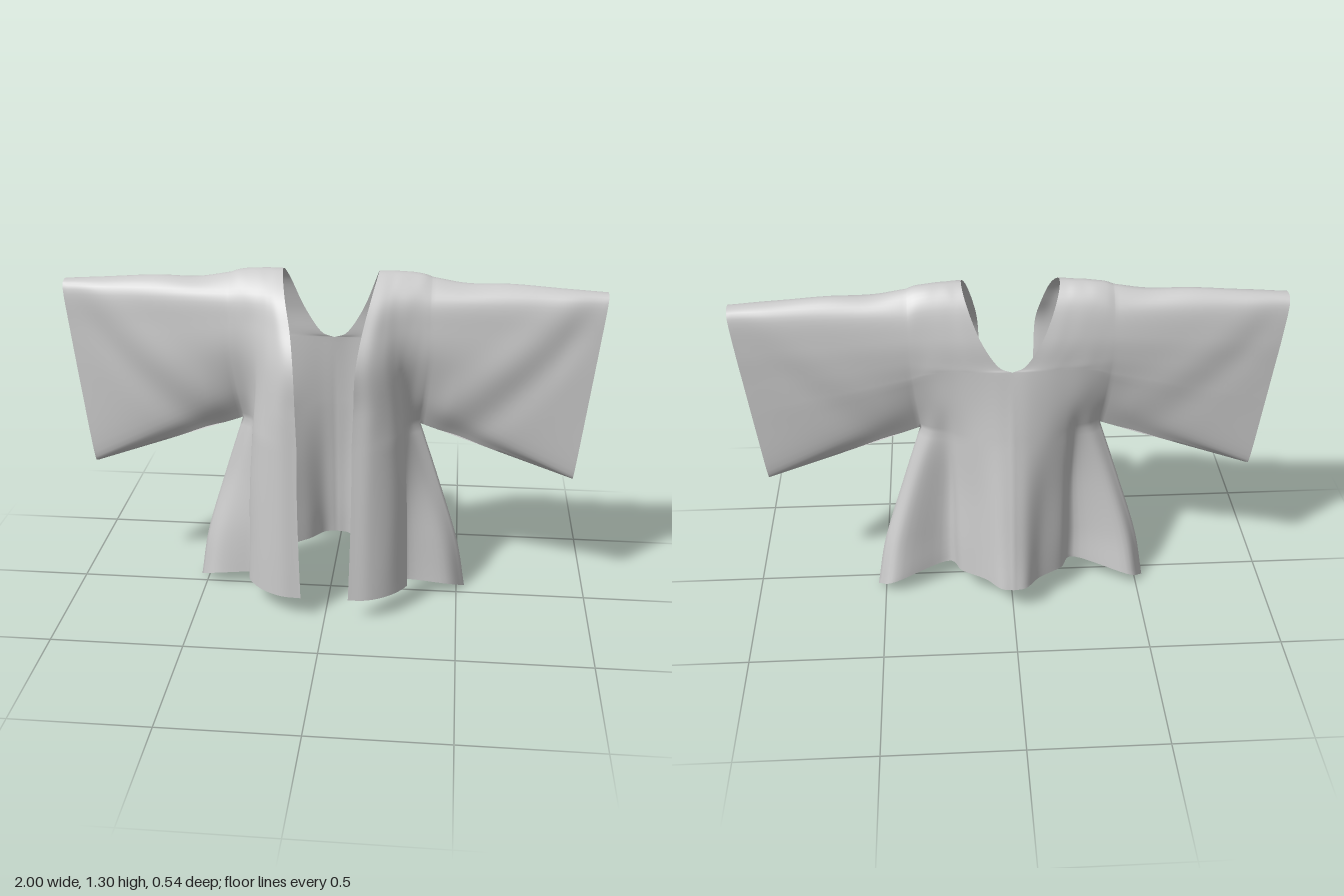
import * as THREE from 'three';
import { mergeGeometries, mergeVertices } from 'three/addons/utils/BufferGeometryUtils.js';

const V = (x, y, z) => new THREE.Vector3(x, y, z);

// One cross-section from the inner edge outwards; xz holds x, z pairs and y eases from yIn to yOut
const row = (yIn, yOut, ...xz) => {
  const n = xz.length / 2;
  return Array.from({ length: n }, (_, i) => V(xz[2 * i], yIn + (yOut - yIn) * (i / (n - 1)) ** 4, xz[2 * i + 1]));
};

// Smooth curve through the points, with an optional corner at one of them
function sample(points, n, corner = 0) {
  if (corner) {
    const m = Math.round((n * corner) / (points.length - 1));
    return [...sample(points.slice(0, corner + 1), m), ...sample(points.slice(corner), n - m).slice(1)];
  }
  const curve = new THREE.CatmullRomCurve3(points, false, 'catmullrom', 0.5);
  return Array.from({ length: n + 1 }, (_, i) => curve.getPoint(i / n));
}

// Smooth cloth sheet through a grid of control rows; side -1 mirrors it
function sheet(rows, nu, nv, side, corner, ripple) {
  const across = rows.map((r) => sample(r, nu));
  const columns = across[0].map((_, u) => sample(across.map((r) => r[u]), nv, corner));
  const positions = [], index = [];
  for (let v = 0; v <= nv; v++) {
    for (let u = 0; u <= nu; u++) {
      const p = columns[u][v];
      if (ripple) ripple(p, u / nu, v / nv);
      positions.push(side * Math.max(p.x, 0), Math.max(p.y, 0), p.z);
    }
  }
  for (let v = 0; v < nv; v++) {
    for (let u = 0; u < nu; u++) {
      const a = v * (nu + 1) + u, b = a + 1, c = a + nu + 1, d = c + 1;
      if (side > 0) index.push(a, b, d, a, d, c);
      else index.push(a, d, b, a, c, d);
    }
  }
  const g = new THREE.BufferGeometry();
  g.setAttribute('position', new THREE.Float32BufferAttribute(positions, 3));
  g.setIndex(index);
  return g;
}

// Chest, from underarm up to the shoulder ridge
const chest = [
  row(0.71, 0.71, 0.1, 0.26, 0.17, 0.25, 0.24, 0.2, 0.28, 0.13, 0.28, 0.07, 0.3, 0.015, 0.34, -0.02),
  row(0.85, 0.84, 0.105, 0.26, 0.17, 0.245, 0.23, 0.19, 0.265, 0.13, 0.275, 0.09, 0.305, 0.058, 0.355, 0.04),
  row(1.0, 1.0, 0.11, 0.26, 0.16, 0.235, 0.21, 0.19, 0.25, 0.14, 0.28, 0.11, 0.32, 0.09, 0.37, 0.08),
  row(1.12, 1.12, 0.128, 0.19, 0.17, 0.178, 0.21, 0.15, 0.25, 0.12, 0.29, 0.1, 0.33, 0.088, 0.37, 0.08),
  row(1.23, 1.22, 0.155, 0.112, 0.19, 0.105, 0.22, 0.095, 0.25, 0.085, 0.29, 0.075, 0.33, 0.065, 0.37, 0.058),
  row(1.3, 1.28, 0.175, -0.01, 0.2, -0.01, 0.23, -0.015, 0.26, -0.015, 0.3, -0.02, 0.34, -0.02, 0.37, -0.025),
];

// Upper back, from the shoulder down to the underarm, along the curved neckline
const upperBack = [
  row(1.25, 1.22, 0.16, -0.09, 0.19, -0.09, 0.22, -0.09, 0.26, -0.09, 0.3, -0.09, 0.34, -0.09, 0.37, -0.09),
  row(1.125, 1.12, 0.113, -0.13, 0.16, -0.13, 0.2, -0.127, 0.24, -0.124, 0.28, -0.12, 0.33, -0.115, 0.37, -0.112),
  row(1.025, 1.03, 0.052, -0.14, 0.11, -0.14, 0.16, -0.137, 0.21, -0.131, 0.27, -0.125, 0.32, -0.117, 0.37, -0.111),
  row(1.0, 0.95, 0, -0.145, 0.06, -0.146, 0.13, -0.141, 0.2, -0.132, 0.26, -0.124, 0.32, -0.113, 0.365, -0.1),
  row(0.85, 0.83, 0, -0.165, 0.06, -0.16, 0.13, -0.145, 0.2, -0.125, 0.25, -0.108, 0.3, -0.088, 0.355, -0.065),
  row(0.71, 0.71, 0, -0.185, 0.06, -0.175, 0.13, -0.15, 0.2, -0.11, 0.245, -0.075, 0.3, -0.055, 0.34, -0.02),
];

// Front panel with its deep side fold, from the hem up
const frontSkirt = [
  row(0.09, 0, 0.09, 0.265, 0.17, 0.255, 0.25, 0.205, 0.308, 0.12, 0.3, 0.045, 0.46, 0.022, 0.532, -0.055),
  row(0.25, 0.21, 0.095, 0.265, 0.17, 0.255, 0.25, 0.205, 0.303, 0.12, 0.295, 0.05, 0.43, 0.013, 0.495, -0.045),
  row(0.48, 0.46, 0.1, 0.263, 0.17, 0.253, 0.25, 0.2, 0.297, 0.12, 0.285, 0.055, 0.365, -0.002, 0.42, -0.035),
  chest[0],
];

// Back skirt with a tuck beside the centre panel, from the underarm down to the hem
const backSkirt = [
  upperBack[5],
  row(0.48, 0.46, 0, -0.22, 0.055, -0.207, 0.12, -0.16, 0.2, -0.106, 0.243, -0.047, 0.365, -0.065, 0.42, -0.035),
  row(0.25, 0.21, 0, -0.25, 0.052, -0.235, 0.11, -0.18, 0.198, -0.12, 0.253, -0.04, 0.43, -0.092, 0.495, -0.045),
  row(0.11, 0, 0, -0.27, 0.05, -0.257, 0.105, -0.193, 0.195, -0.126, 0.255, -0.04, 0.46, -0.125, 0.532, -0.055),
];

const upper = [...chest, ...upperBack];
const neckRow = 9; // the row where the neckline meets the centre back

// Wide sleeve: each control row runs from the armhole to a flat, rounded cuff
const cuffHeight = [0, 0.06, 0.45, 0.75, 0.96, 1, 0.96, 0.78, 0.6, 0.4, 0.06, 0];
const cuffZ = [-0.02, 0.01, 0.016, 0.016, 0.01, -0.035, -0.078, -0.083, -0.076, -0.068, -0.05, -0.02];
const sleeve = upper.map((r, i) => {
  const start = r[r.length - 1], h = cuffHeight[i];
  const cuff = V(0.92 + 0.08 * h, 0.505 + 0.73 * h, cuffZ[i]);
  return [0, 0.2, 0.45, 0.75, 1].map((k) => {
    const p = start.clone().lerp(cuff, k);
    if (h === 1 && k === 0.2) p.y -= 0.012;
    return p;
  });
});

// Soft diagonal drape across the sleeve, rising from the underarm
const drape = (p, u, v) => {
  const out = v < 0.455 ? 1 : -0.5;
  const d = p.y - (0.73 + 0.65 * (p.x - 0.34) + 0.5 * (p.x - 0.34) ** 2);
  const fade = Math.min(1, 6 * u * (1 - u)) * Math.sin(Math.PI * Math.min(1, Math.abs(v - 0.455) * 1.83));
  p.z += out * fade * (0.009 * Math.exp(-((d / 0.1) ** 2)) - 0.008 * Math.exp(-(((d + 0.17) / 0.09) ** 2)));
};

export function createModel() {
  const group = new THREE.Group();
  const material = new THREE.MeshStandardMaterial({ color: 0xcccccc, side: THREE.DoubleSide });
  const parts = [];
  for (const [side, label] of [[1, 'left'], [-1, 'right']]) {
    parts.push([label + 'FrontPanel', sheet(frontSkirt, 36, 24, side)]);
    parts.push([label + 'Yoke', sheet(upper, 36, 66, side, neckRow)]);
    parts.push([label + 'BackPanel', sheet(backSkirt, 36, 24, side)]);
    parts.push([label + 'Sleeve', sheet(sleeve, 36, 66, side, neckRow, drape)]);
  }

  // Weld all sheets so the shading runs smoothly across the seams
  const cloth = mergeVertices(mergeGeometries(parts.map((p) => p[1])), 1e-4);
  cloth.computeVertexNormals();

  // Each named part uses its own slice of the welded cloth
  let start = 0;
  for (const [name, g] of parts) {
    const count = g.index.count;
    const piece = new THREE.BufferGeometry();
    piece.setAttribute('position', cloth.attributes.position);
    piece.setAttribute('normal', cloth.attributes.normal);
    piece.setIndex(Array.from(cloth.index.array.slice(start, start + count)));
    start += count;
    const mesh = new THREE.Mesh(piece, material);
    mesh.name = name;
    group.add(mesh);
  }
  group.name = 'openJacket';
  return group;
}
